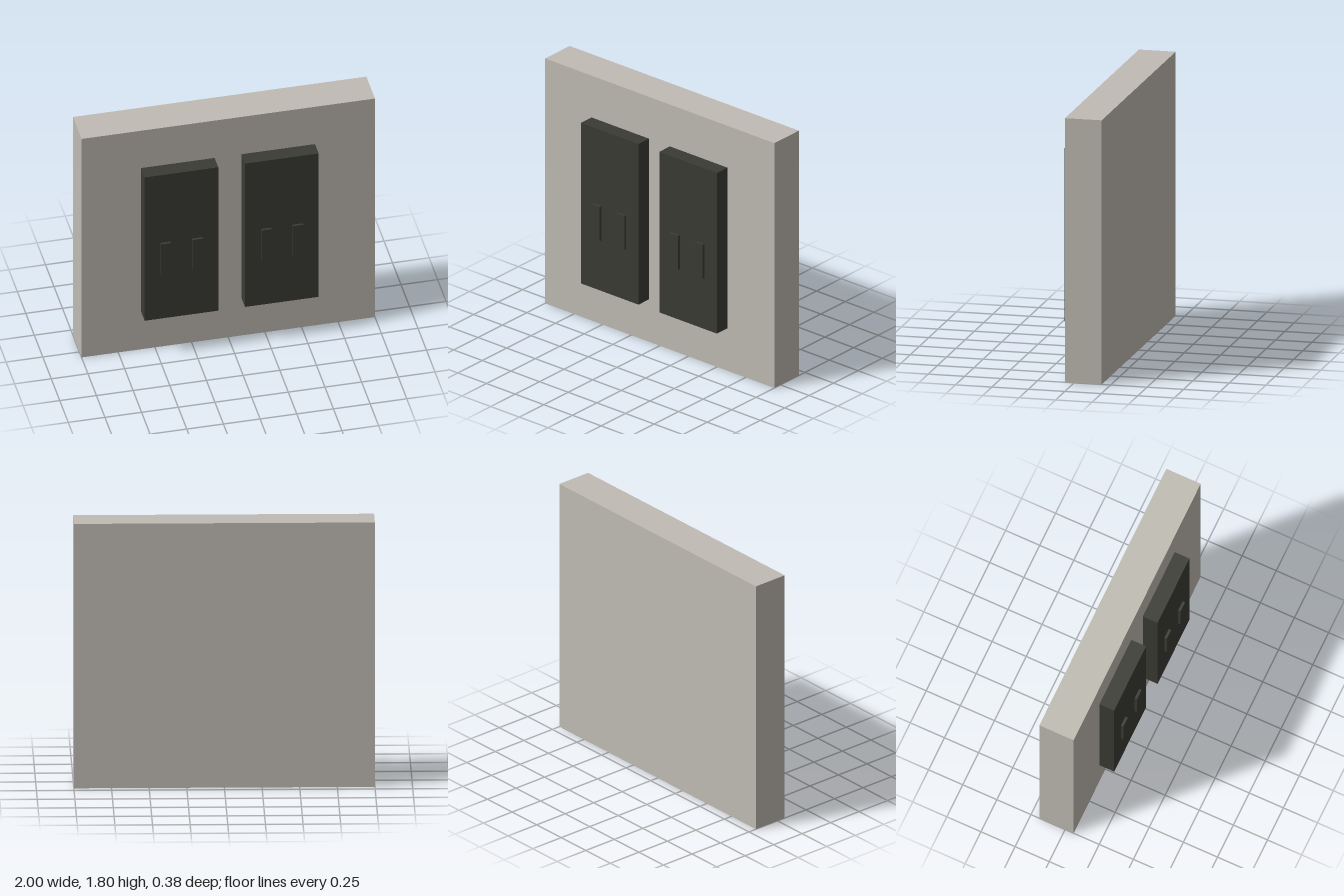
import * as THREE from 'three';

export function createModel() {
  const group = new THREE.Group();
  group.name = 'wallPlate';
  const stone = new THREE.MeshStandardMaterial({ color: 0xc0bcb4 });
  stone.name = 'pale grey';
  const dark = new THREE.MeshStandardMaterial({ color: 0x3b3b35 });
  dark.name = 'dark charcoal';

  // Box given by its centre in x and its extents in y and z
  function addBox(parent, name, material, x, width, [y0, y1], [z0, z1]) {
    const mesh = new THREE.Mesh(new THREE.BoxGeometry(width, y1 - y0, z1 - z0), material);
    mesh.name = name;
    mesh.position.set(x, (y0 + y1) / 2, (z0 + z1) / 2);
    parent.add(mesh);
  }

  // Backing slab
  addBox(group, 'backPlate', stone, 0, 2, [0, 1.805], [-0.189, 0.063]);

  // Two raised panels, each with a pair of thin upright bars
  for (const [side, x] of [['right', -0.344], ['left', 0.34]]) {
    const panel = new THREE.Group();
    panel.name = side + 'PanelGroup';
    panel.position.x = x;
    addBox(panel, side + 'Panel', dark, 0, 0.502, [0.313, 1.497], [0.063, 0.171]);
    for (const dx of [-0.108, 0.107]) {
      addBox(panel, side + 'PanelBar', dark, dx, 0.071, [0.687, 0.939], [0.171, 0.189]);
    }
    group.add(panel);
  }
  return group;
}
